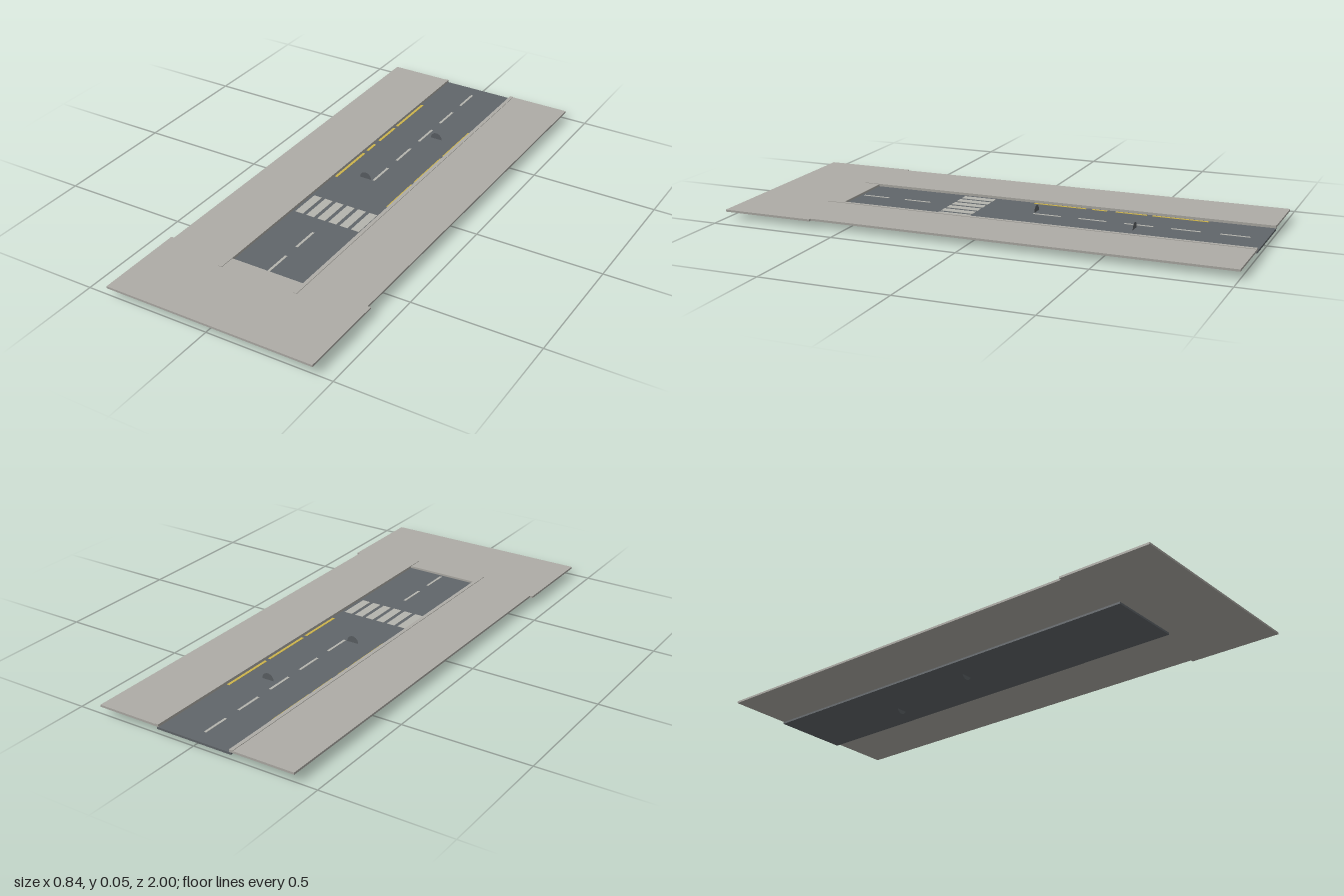
import * as THREE from 'three';

const mat = (name, color, side = THREE.FrontSide) => {
  const m = new THREE.MeshStandardMaterial({ color, side });
  m.name = name;
  return m;
};

export function createModel() {
  const group = new THREE.Group();
  const concrete = mat('concrete', 0xaeaca6);
  const asphalt = mat('asphalt', 0x61666a);
  const discGrey = mat('discGrey', 0x5b6064, THREE.DoubleSide);
  const white = mat('whitePaint', 0xb4b4ae);
  const yellow = mat('yellowPaint', 0xccb34c);

  // Box given by its min and max corners
  const box = (name, material, x0, x1, y0, y1, z0, z1) => {
    const mesh = new THREE.Mesh(new THREE.BoxGeometry(x1 - x0, y1 - y0, z1 - z0), material);
    mesh.position.set((x0 + x1) / 2, (y0 + y1) / 2, (z0 + z1) / 2);
    mesh.name = name;
    group.add(mesh);
  };

  // Pavement: one slab wrapped around the road, wider at the front
  const outline = [
    [-0.422, 1], [0.422, 1], [0.422, 0.635], [0.41, 0.635], [0.41, -1], [0.15, -1],
    [0.15, 0.635], [-0.15, 0.635], [-0.15, -1], [-0.41, -1], [-0.41, 0.635], [-0.422, 0.635],
  ];
  const shape = new THREE.Shape(outline.map(([x, z]) => new THREE.Vector2(x, -z)));
  const slab = new THREE.ExtrudeGeometry(shape, { depth: 0.008, bevelEnabled: false });
  slab.rotateX(-Math.PI / 2);
  const pavement = new THREE.Mesh(slab, concrete);
  pavement.position.y = 0.027;
  pavement.name = 'pavement';
  group.add(pavement);

  // Sunken road bed, running a little under the pavement
  const roadTop = 0.026;
  box('road', asphalt, -0.157, 0.157, 0.018, roadTop, -1, 0.7);

  // Kerbs just proud of the pavement
  for (const s of [-1, 1]) {
    box('kerb', concrete, s * 0.1575 - 0.0075, s * 0.1575 + 0.0075, 0.027, 0.037, -1, 0.7);
  }

  // Painted markings
  const paint = (name, material, x, width, z0, z1) =>
    box(name, material, x - width / 2, x + width / 2, roadTop - 0.001, roadTop + 0.001, z0, z1);

  for (const z of [-0.94, -0.757, -0.576, -0.394, -0.212, 0.334, 0.513]) {
    paint('centreDash', white, -0.002, 0.01, z, z + 0.112);
  }
  for (let i = 0; i < 6; i++) {
    paint('crossingStripe', white, (i - 2.5) * 0.049, 0.034, 0.112, 0.245);
  }
  for (const [z0, z1] of [[-0.75, -0.53], [-0.51, -0.385], [-0.35, -0.29], [-0.265, -0.05]]) {
    paint('leftEdgeLine', yellow, -0.143, 0.011, z0, z1);
  }
  for (const [z0, z1] of [[-0.63, -0.405], [-0.385, -0.17], [-0.15, 0.04]]) {
    paint('rightEdgeLine', yellow, 0.143, 0.011, z0, z1);
  }

  // Thin upright discs set into the road
  for (const [x, z] of [[0.048, -0.52], [-0.038, -0.1]]) {
    const disc = new THREE.Mesh(new THREE.CircleGeometry(0.025, 32), discGrey);
    disc.position.set(x, 0.0265, z);
    disc.name = 'roadDisc';
    group.add(disc);
  }

  // Rest the lowest point on the ground
  const lowest = new THREE.Box3().setFromObject(group).min.y;
  group.children.forEach((part) => { part.position.y -= lowest; });
  return group;
}
